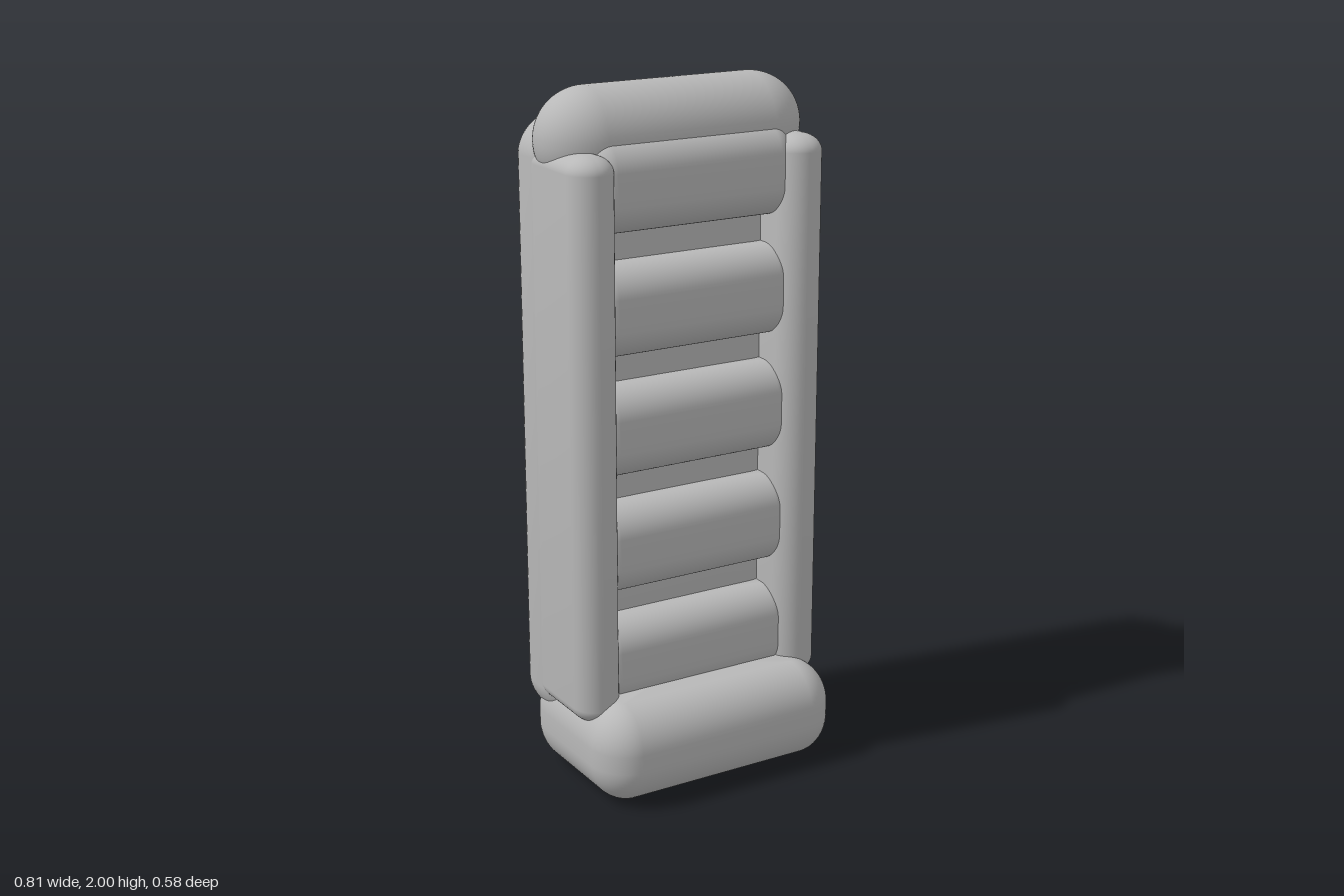
import * as THREE from 'three';

// Soft cushion block: a sphere pulled apart into a box, with its own corner radius per axis.
function cushion(min, max, radii) {
  const SEG = 64;
  const geo = new THREE.SphereGeometry(1, SEG, 33, Math.PI / SEG, Math.PI * 2);
  const pos = geo.attributes.position;
  const nor = geo.attributes.normal;
  const n = new THREE.Vector3();
  for (let i = 0; i < pos.count; i++) {
    n.fromBufferAttribute(pos, i);
    const p = n.toArray().map((c, a) => {
      const core = (max[a] - min[a]) / 2 - radii[a];
      const side = Math.abs(c) < 1e-6 ? 0 : Math.sign(c);
      return (min[a] + max[a]) / 2 + side * core + c * radii[a];
    });
    pos.setXYZ(i, ...p);
    n.set(n.x / radii[0], n.y / radii[1], n.z / radii[2]).normalize();
    nor.setXYZ(i, n.x, n.y, n.z);
  }
  return geo;
}

export function createModel() {
  const group = new THREE.Group();
  const grey = new THREE.MeshStandardMaterial({ color: 0xb8b8b8 });
  grey.name = 'soft grey';

  const add = (name, min, max, radii) => {
    const mesh = new THREE.Mesh(cushion(min, max, radii), grey);
    mesh.name = name;
    group.add(mesh);
  };

  // Foot block, back slab and top roll
  add('base', [-0.39, 0, -0.225], [0.39, 0.29, 0.29], [0.11, 0.125, 0.12]);
  add('backPanel', [-0.398, 0.13, -0.292], [0.398, 1.93, 0.02], [0.17, 0.13, 0.14]);
  add('topRoll', [-0.407, 1.71, -0.18], [0.407, 2, 0.09], [0.15, 0.143, 0.134]);

  // Upright side panels
  add('leftSide', [0.263, 0.22, -0.15], [0.4, 1.84, 0.162], [0.066, 0.05, 0.07]);
  add('rightSide', [-0.4, 0.22, -0.15], [-0.263, 1.84, 0.162], [0.066, 0.05, 0.07]);

  // Five evenly spaced shelf cushions
  for (let i = 0; i < 5; i++) {
    const y = 0.237 + i * 0.343;
    add('shelf' + (i + 1), [-0.325, y, -0.15], [0.325, y + 0.262, 0.128], [0.07, 0.09, 0.09]);
  }
  return group;
}
